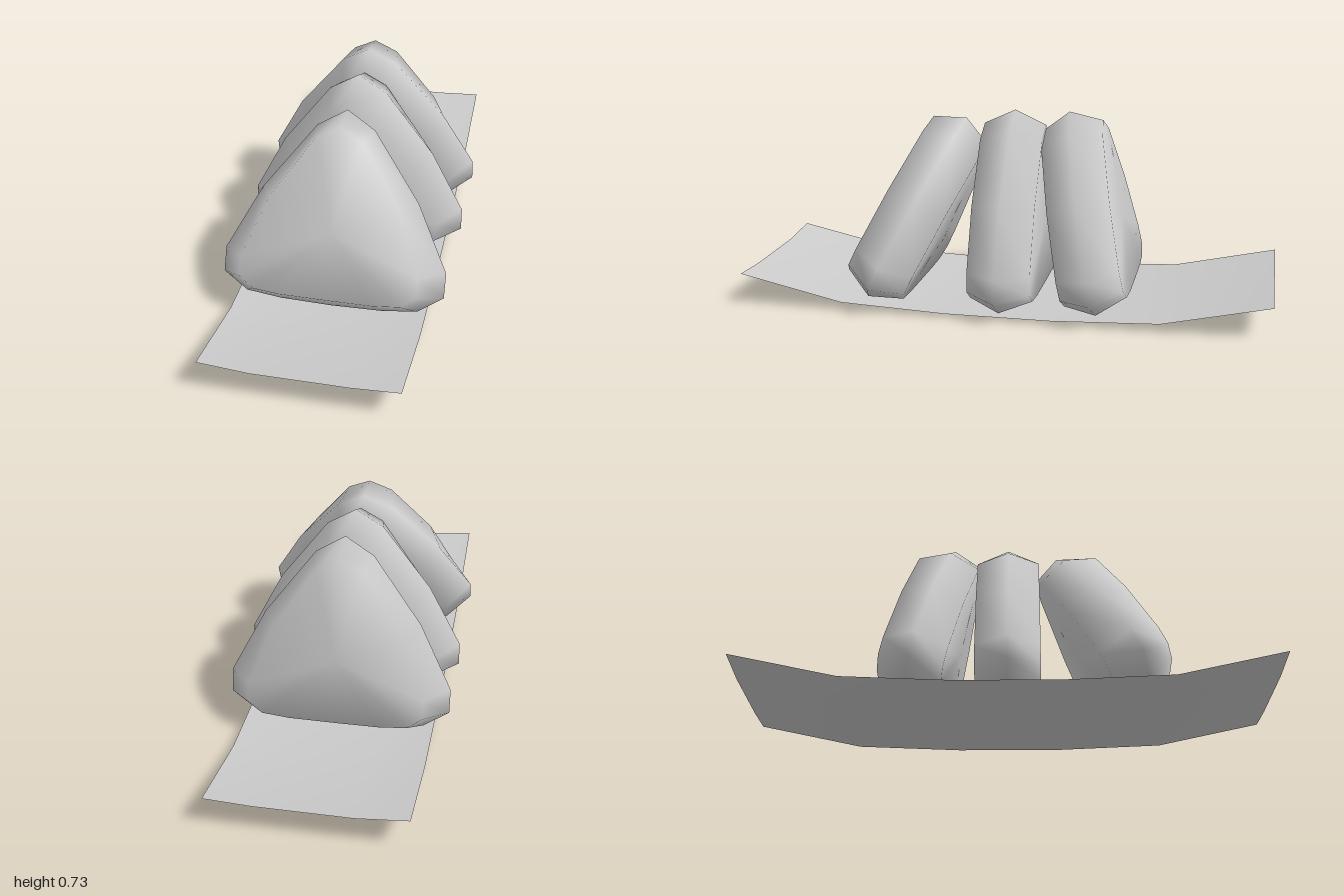
import * as THREE from 'three';

const mirror = (half) => [...half, ...half.slice(1, -1).reverse().map(([x, y]) => [-x, y])];

// Rounded triangle outlines, counter-clockwise from bottom middle to the peak
const RIM = mirror([[0, 0], [0.19, 0.004], [0.32, 0.018], [0.413, 0.08], [0.413, 0.172], [0.29, 0.415], [0.107, 0.662], [0, 0.727]]);
const FACE = mirror([[0, 0.045], [0.17, 0.046], [0.27, 0.055], [0.325, 0.095], [0.325, 0.165], [0.235, 0.4], [0.085, 0.625], [0, 0.672]]);
const HALF_DEPTH = 0.119;

function riceBallGeometry() {
  const rings = [[FACE, -HALF_DEPTH], [RIM, 0], [FACE, HALF_DEPTH]];
  const n = RIM.length;
  const pos = [], idx = [];
  for (const [ring, z] of rings) for (const [x, y] of ring) pos.push(x, y, z);
  // Side bands
  for (let i = 0; i < 2; i++) {
    for (let j = 0; j < n; j++) {
      const k = (j + 1) % n;
      const a = i * n + j, b = i * n + k, c = b + n, d = a + n;
      idx.push(a, b, c, a, c, d);
    }
  }
  // Flat back and front faces, fanned from their centres
  const back = 3 * n, front = back + 1;
  pos.push(0, 0.29, -HALF_DEPTH, 0, 0.29, HALF_DEPTH);
  for (let j = 0; j < n; j++) {
    const k = (j + 1) % n;
    idx.push(back, k, j, front, 2 * n + j, 2 * n + k);
  }
  const geo = new THREE.BufferGeometry();
  geo.setAttribute('position', new THREE.Float32BufferAttribute(pos, 3));
  geo.setIndex(idx);
  geo.computeVertexNormals();
  return geo;
}

// Thin sheet bent up at both ends and slightly along its long edges
function leafGeometry() {
  const xs = [[-0.357, 0.017], [-0.17, 0], [0.18, 0], [0.35, 0.009]];
  const zs = [[-1, 0.108], [-0.6, 0.02], [-0.2, 0.003], [0.2, 0.003], [0.6, 0.02], [1, 0.108]];
  const geo = new THREE.PlaneGeometry(1, 1, xs.length - 1, zs.length - 1);
  const p = geo.attributes.position;
  zs.forEach(([z, yz], r) => xs.forEach(([x, yx], c) => p.setXYZ(r * xs.length + c, x, yz + yx, z)));
  geo.computeVertexNormals();
  return geo;
}

export function createModel() {
  const model = new THREE.Group();
  model.name = 'riceBallsOnLeaf';
  const grey = new THREE.MeshStandardMaterial({ color: 0xcccccc });

  const leaf = new THREE.Mesh(leafGeometry(), new THREE.MeshStandardMaterial({ color: 0xcccccc, side: THREE.DoubleSide }));
  leaf.name = 'leafTray';
  model.add(leaf);

  // Outer two lean in against the upright middle one
  const geo = riceBallGeometry();
  const balls = [
    ['frontRiceBall', 0.035, 0.51, -0.455],
    ['middleRiceBall', 0, 0, 0],
    ['backRiceBall', 0.017, -0.367, 0.218],
  ];
  for (const [name, y, z, lean] of balls) {
    const ball = new THREE.Mesh(geo, grey);
    ball.name = name;
    ball.position.set(0, y, z);
    ball.rotation.x = lean;
    model.add(ball);
  }
  return model;
}
